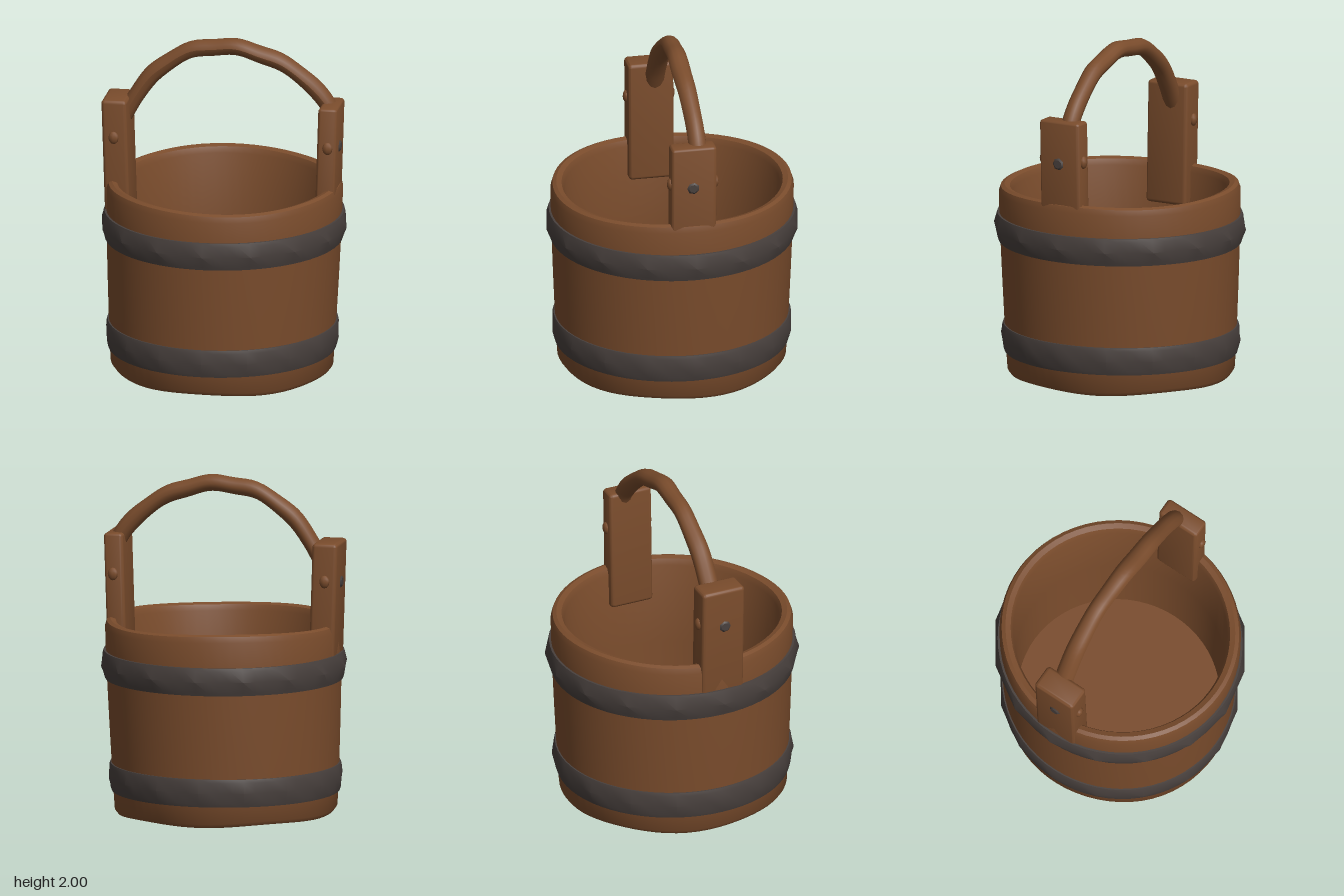
import * as THREE from 'three';
import { toCreasedNormals } from 'three/addons/utils/BufferGeometryUtils.js';
import { RoundedBoxGeometry } from 'three/addons/geometries/RoundedBoxGeometry.js';

const wood = new THREE.MeshStandardMaterial({ color: 0x7a4c2c });
wood.name = 'wood';
const iron = new THREE.MeshStandardMaterial({ color: 0x48403d });
iron.name = 'iron';

function part(name, geometry, material) {
  const mesh = new THREE.Mesh(geometry, material);
  mesh.name = name;
  return mesh;
}

// Move every vertex of a geometry by a rule
function bend(geometry, rule) {
  const pos = geometry.attributes.position;
  const v = new THREE.Vector3();
  for (let i = 0; i < pos.count; i++) {
    v.fromBufferAttribute(pos, i);
    rule(v);
    pos.setXYZ(i, v.x, v.y, v.z);
  }
  geometry.computeVertexNormals();
  return geometry;
}

function lathe(points, segments) {
  return new THREE.LatheGeometry(points.map(([r, y]) => new THREE.Vector2(r, y)), segments);
}

// The whole tub leans a little and is slightly deeper than wide
function lean(v) {
  v.x -= 0.015 * (1 - v.y);
  v.z *= 1.03;
}

// Hollow body with a recessed underside and a worn, wavy rim and foot
function makeTub() {
  const geometry = lathe([
    [0, 0.07], [0.565, 0.07], [0.57, 0.03], [0.59, 0.012], [0.635, 0.012], [0.652, 0.035],
    [0.662, 0.2], [0.677, 0.55], [0.69, 0.9], [0.693, 1.1], [0.682, 1.135], [0.66, 1.145],
    [0.63, 1.135], [0.615, 1.1], [0.6, 0.6], [0.58, 0.1], [0, 0.1],
  ], 64);
  bend(geometry, (v) => {
    const a = Math.atan2(v.z, v.x);
    if (v.y > 1.05) v.y += 0.007 * Math.sin(3 * a + 1) - 0.012 * v.z;
    if (v.y < 0.04) v.y += 0.006 * Math.sin(5 * a) - 0.01 * v.x;
    lean(v);
  });
  return part('tub', toCreasedNormals(geometry, 0.7), wood);
}

// Hoop with round edges and a sixteen-cornered ridge round the middle
function makeHoop(name, bottom, top, rBottom, rTop, rCorner) {
  const middle = (bottom + top) / 2;
  const step = Math.PI / 8;
  const geometry = lathe([
    [rBottom - 0.03, bottom], [rBottom, bottom], [rBottom + 0.006, bottom + 0.02],
    [rCorner, middle], [rTop + 0.006, top - 0.02], [rTop, top], [rTop - 0.03, top],
  ], 64);
  bend(geometry, (v) => {
    if (Math.abs(v.y - middle) < 0.01) {
      const a = Math.atan2(v.z, v.x);
      const off = a - Math.round(a / step) * step;
      const k = Math.cos(step / 2) / Math.cos(step / 2 - Math.abs(off));
      v.x *= k;
      v.z *= k;
    }
    lean(v);
  });
  return part(name, toCreasedNormals(geometry, 0.6), iron);
}

// Upright post: side is +1 for left, -1 for right
function makePost(name, side, inner, outer, top) {
  const group = new THREE.Group();
  group.name = name;
  const bottom = 0.9;
  const post = new RoundedBoxGeometry(outer - inner, top - bottom, 0.27, 3, 0.022);
  post.translate(side * (inner + outer) / 2, (top + bottom) / 2, 0.008);
  bend(post, (v) => {
    if (v.y < 1.2) v.x -= side * 0.022;
  });
  group.add(part(name + 'Board', toCreasedNormals(post, 0.8), wood));

  // Iron peg end on the outer face
  const peg = new THREE.CylinderGeometry(0.026, 0.04, 0.012, 7);
  peg.rotateZ(-side * Math.PI / 2);
  peg.translate(side * (outer - 0.004), 1.39, 0.015);
  group.add(part(name + 'Peg', peg, iron));

  // Worn wooden nubs on the edges
  for (const z of [-0.125, 0.141]) {
    const nub = new THREE.SphereGeometry(0.035, 8, 6);
    nub.scale(0.9, 1.1, 0.65);
    nub.translate(side * (inner + outer) / 2, 1.405, z);
    group.add(part(name + 'Nub', nub, wood));
  }
  return group;
}

// Bent branch handle, thicker in the middle
function makeHandle() {
  const curve = new THREE.CatmullRomCurve3([
    [-0.6, 1.5], [-0.53, 1.62], [-0.4, 1.79], [-0.2, 1.915], [0.07, 1.948],
    [0.3, 1.885], [0.48, 1.775], [0.6, 1.64], [0.64, 1.56],
  ].map(([x, y]) => new THREE.Vector3(x, y, -0.02)));
  const geometry = new THREE.TubeGeometry(curve, 48, 0.05, 12, false);
  bend(geometry, (v) => {
    const swell = 1.12 + 0.06 * Math.sin(v.x * 9);
    v.z = -0.02 + (v.z + 0.02) * swell + 0.006 * Math.sin(v.x * 7);
    v.y += 0.005 * Math.sin(v.x * 23);
  });
  return part('handle', geometry, wood);
}

export function createModel() {
  const model = new THREE.Group();
  model.name = 'bucket';
  model.add(
    makeTub(),
    makeHoop('upperHoop', 0.8, 0.965, 0.697, 0.703, 0.728),
    makeHoop('lowerHoop', 0.135, 0.3, 0.668, 0.674, 0.692),
    makePost('leftPost', 1, 0.58, 0.695, 1.645),
    makePost('rightPost', -1, 0.56, 0.71, 1.63),
    makeHandle(),
  );
  return model;
}
